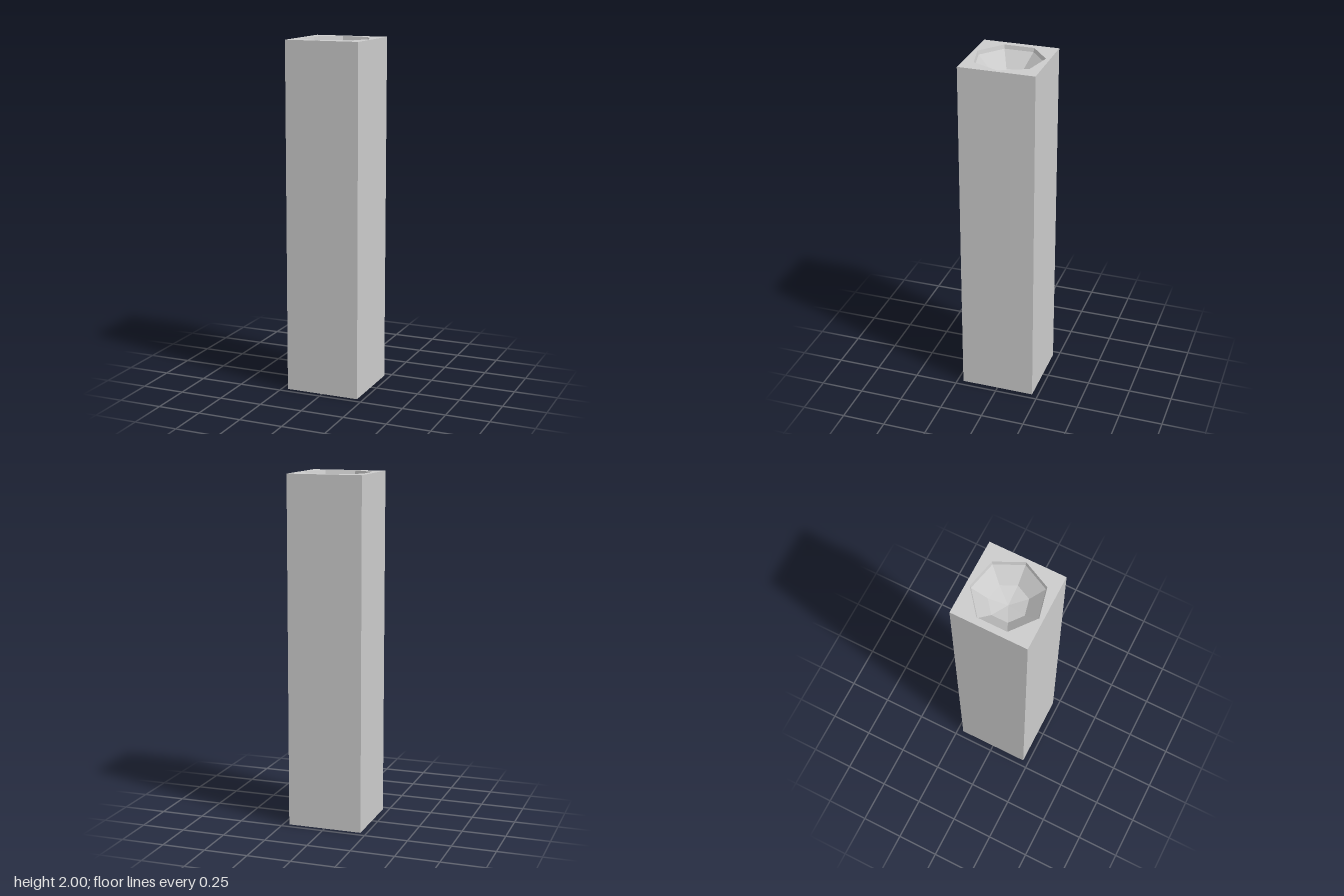
import * as THREE from 'three';

const WIDTH = 0.43, HEIGHT = 2, SIDES = 7, RIM = 0.197;

export function createModel() {
  const group = new THREE.Group();
  const material = new THREE.MeshStandardMaterial({
    color: 0xcccccc, flatShading: true, side: THREE.DoubleSide,
  });
  const add = (name, geometry, y) => {
    const mesh = new THREE.Mesh(geometry, material);
    mesh.name = name;
    mesh.position.y = y;
    group.add(mesh);
  };

  // Square pillar, left open at the top (the +y face is dropped)
  const body = new THREE.BoxGeometry(WIDTH, HEIGHT, WIDTH);
  const index = Array.from(body.index.array);
  index.splice(12, 6);
  body.setIndex(index);
  body.clearGroups();
  add('pillar', body, HEIGHT / 2);

  // Top face with a seven-sided opening, one corner towards +x
  const h = WIDTH / 2;
  const top = new THREE.Shape([
    new THREE.Vector2(-h, -h), new THREE.Vector2(h, -h),
    new THREE.Vector2(h, h), new THREE.Vector2(-h, h),
  ]);
  const corners = [];
  for (let i = 0; i < SIDES; i++) {
    const a = (i / SIDES) * Math.PI * 2;
    corners.push(new THREE.Vector2(RIM * Math.cos(a), RIM * Math.sin(a)));
  }
  top.holes.push(new THREE.Path(corners));
  add('topFace', new THREE.ShapeGeometry(top).rotateX(-Math.PI / 2), HEIGHT);

  // Faceted hollow, from the rim down to its lowest point
  const profile = [[RIM, 0], [0.191, -0.022], [0.107, -0.106], [0, -0.136]]
    .map(([r, y]) => new THREE.Vector2(r, y));
  add('bowl', new THREE.LatheGeometry(profile, SIDES, Math.PI / 2), HEIGHT);

  return group;
}
